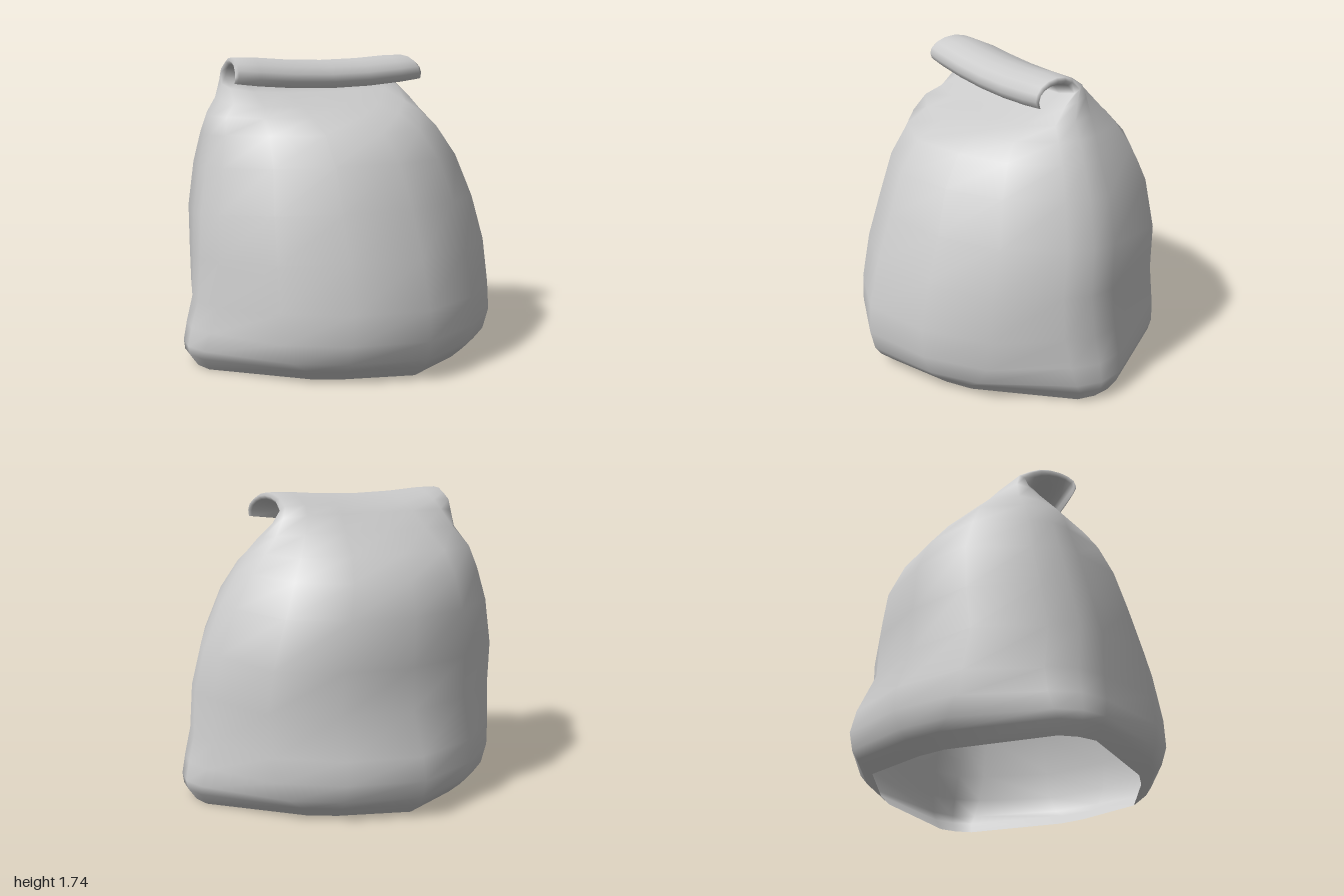
import * as THREE from 'three';

const { lerp, smoothstep } = THREE.MathUtils;
const SIDES = 16;

// Quarter outlines [x, z]: hem, front half, fuller back half, and pinched flap
const HEM = [[1, 0], [0.98, 0.13], [0.55, 0.7], [0.4, 0.81], [0, 1]];
const FRONT = [[1, 0], [0.95, 0.18], [0.76, 0.59], [0.42, 0.86], [0, 1]];
const BACK = [[1, 0], [0.97, 0.2], [0.82, 0.67], [0.45, 0.91], [0, 1]];
const FLAT = [[1, 0], [0.97, 0.55], [0.76, 0.95], [0.4, 1], [0, 1]];

// Body sections: left x, right x, front y, front z, back y, back z
const BODY = [
  [-0.94, 0.94, 0, 0.80, 0, -0.80],
  [-0.99, 0.99, 0.07, 0.885, 0.07, -0.89],
  [-1.0, 1.0, 0.12, 0.92, 0.12, -0.92],
  [-0.98, 0.98, 0.23, 0.945, 0.22, -0.94],
  [-0.94, 0.94, 0.40, 0.935, 0.35, -0.91],
  [-0.93, 0.92, 0.67, 0.87, 0.58, -0.81],
  [-0.90, 0.875, 0.93, 0.78, 0.82, -0.80],
  [-0.85, 0.78, 1.17, 0.69, 1.09, -0.775],
  [-0.81, 0.685, 1.33, 0.565, 1.28, -0.69],
  [-0.785, 0.61, 1.41, 0.40, 1.41, -0.57],
  [-0.72, 0.54, 1.46, 0.21, 1.53, -0.41],
  [-0.69, 0.49, 1.54, 0.0, 1.63, -0.29],
  [-0.685, 0.47, 1.61, -0.13, 1.69, -0.22],
];

// Flap sections curl forward along an elliptical arc and thin out at the lip
function flapSection(t) {
  const angle = lerp(Math.PI * 0.74, -0.35, t);
  const half = 0.035 * Math.sqrt(1 - t) + 0.004;
  const at = (r) => [1.63 + (0.092 + r) * Math.sin(angle), -0.02 + (0.145 + r) * Math.cos(angle)];
  const spread = 0.05 * Math.min(1, t * 1.3);
  return [-0.69 - spread, 0.47 + spread, ...at(-half), ...at(half)];
}

const mix = (p, q, t) => [lerp(p[0], q[0], t), lerp(p[1], q[1], t)];

// Outline of section i at ring position j, mirrored from the quarter outlines
function outlinePoint(i, j) {
  const quarter = Math.floor(j / 4);
  const k = quarter % 2 ? 4 - (j % 4) : j % 4;
  const behind = quarter >= 2;
  let p = mix(HEM[k], FRONT[k], smoothstep(i, 0, 4));
  if (behind) p = mix(p, BACK[k], smoothstep(i, 3, 6));
  p = mix(p, FLAT[k], smoothstep(i, 8, 12));
  return [quarter === 1 || quarter === 2 ? -p[0] : p[0], behind ? -p[1] : p[1]];
}

// Tilted ring from the front wall to the back wall, sagging near the top
function sectionRing([xl, xr, yf, zf, yb, zb], i) {
  const sag = 0.04 * smoothstep(i, 10, 13);
  return Array.from({ length: SIDES }, (_, j) => {
    const [u, w] = outlinePoint(i, j);
    return [
      (xl + xr) / 2 + u * (xr - xl) / 2,
      (yf + yb) / 2 + w * (yf - yb) / 2 - sag * (1 - u * u),
      (zf + zb) / 2 + w * (zf - zb) / 2,
    ];
  });
}

export function createModel() {
  const model = new THREE.Group();
  model.name = 'sack';
  const sections = [...BODY];
  for (let i = 0; i <= 7; i++) sections.push(flapSection(i / 7));
  const rings = sections.map(sectionRing);

  // Cloth wall, open below, pinched at the neck and folded forward
  const index = [];
  for (let i = 0; i < rings.length - 1; i++) {
    for (let j = 0; j < SIDES; j++) {
      const a = i * SIDES + j, b = i * SIDES + (j + 1) % SIDES;
      const d = a + SIDES, c = b + SIDES;
      index.push(a, d, b, b, d, c);
    }
  }

  // Closed lip of the fold, bridging the front and back walls
  const lip = (rings.length - 1) * SIDES;
  for (let j = 0; j < SIDES / 2; j++) {
    const a = lip + j, b = lip + j + 1;
    const c = lip + SIDES - j - 1, d = lip + (SIDES - j) % SIDES;
    if (d !== a) index.push(a, d, b);
    if (b !== c) index.push(b, d, c);
  }

  const geometry = new THREE.BufferGeometry();
  geometry.setAttribute('position', new THREE.Float32BufferAttribute(rings.flat(2), 3));
  geometry.setIndex(index);
  geometry.computeVertexNormals();
  const material = new THREE.MeshStandardMaterial({ color: 0xcccccc, side: THREE.DoubleSide });
  const cloth = new THREE.Mesh(geometry, material);
  cloth.name = 'clothBody';
  model.add(cloth);
  return model;
}
